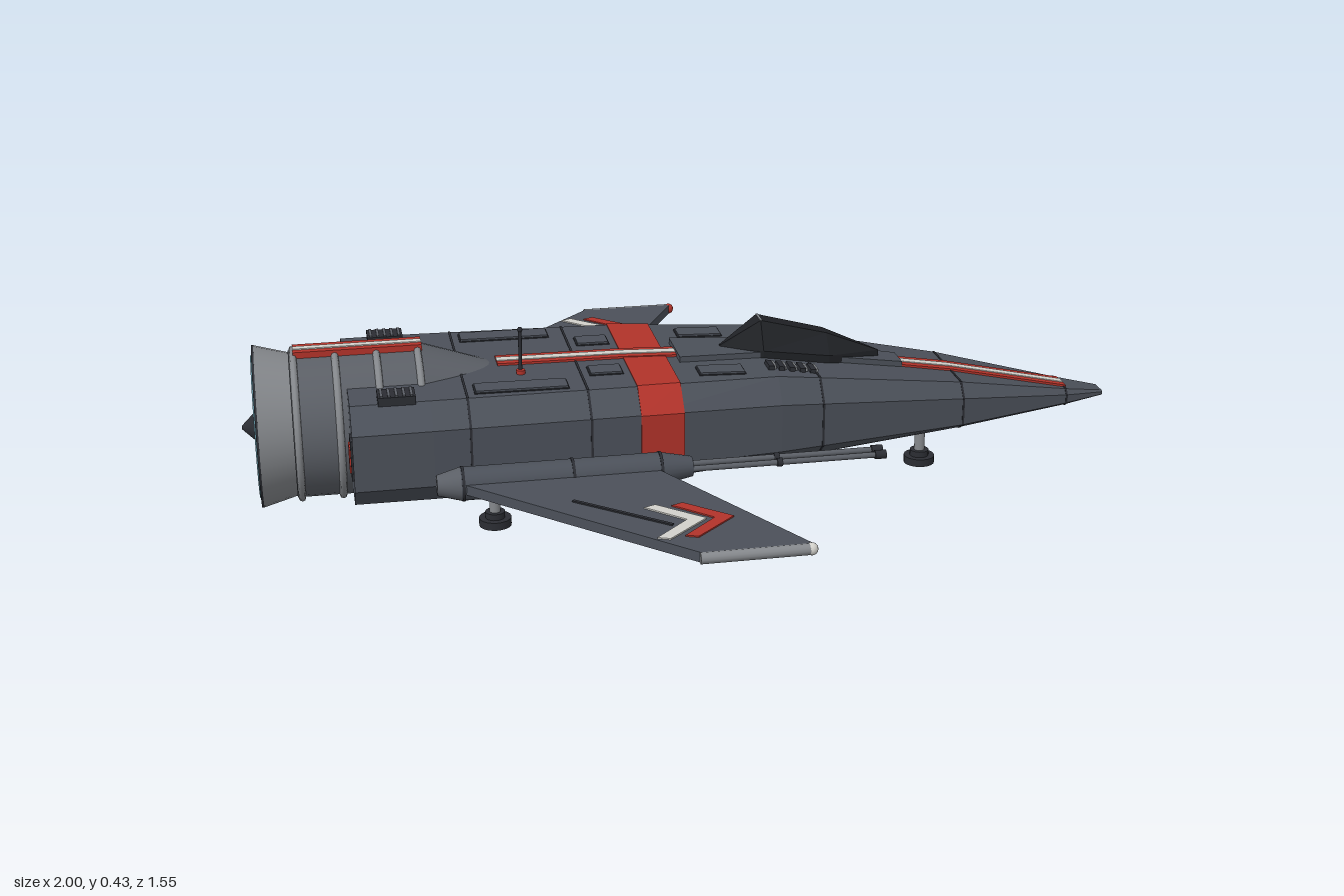
import * as THREE from 'three';

const mat = (name, color) => Object.assign(new THREE.MeshStandardMaterial({ color }), { name });
const hull = mat('hull grey', 0x4b5059), dark = mat('dark trim', 0x2b2d33), glass = mat('canopy glass', 0x1f2125),
  gun = mat('gunmetal', 0x5b5f66), steel = mat('steel', 0x85888c), red = mat('red paint', 0xb2332a),
  white = mat('white paint', 0xd2d1cb), glow = mat('engine glow', 0x5a8593);

// Hull stations: x, half width, top, upper side edge, lower side edge, bottom
const STATIONS = [
  [-0.77, 0.273, 0.323, 0.273, 0.147, 0.097],
  [-0.6, 0.272, 0.323, 0.273, 0.147, 0.096],
  [-0.15, 0.26, 0.319, 0.27, 0.148, 0.097],
  [0.17, 0.222, 0.308, 0.255, 0.145, 0.108],
  [0.62, 0.13, 0.235, 0.203, 0.139, 0.124],
  [0.9, 0.053, 0.175, 0.163, 0.143, 0.136],
  [1.0, 0.024, 0.156, 0.153, 0.147, 0.144],
];
function section(x) {
  let i = 0;
  while (i < STATIONS.length - 2 && x > STATIONS[i + 1][0]) i++;
  const a = STATIONS[i], b = STATIONS[i + 1], t = (x - a[0]) / (b[0] - a[0]);
  return a.map((v, k) => v + (b[k] - v) * t);
}
const topY = (x) => section(x)[2];
function hullRing(x, g = 0) {
  const [, w, t, u, l, b] = section(x), e = 0.81 * w + g * 0.5;
  const half = [[e, t + g], [w + g, u], [w + g, l], [e, b - g]];
  return [...half, ...half.slice().reverse().map(([z, y]) => [-z, y])].map(([z, y]) => [x, y, z]);
}
// Breakpoints of the hull between two x values
const spans = (x0, x1) => [x0, ...STATIONS.map((s) => s[0]).filter((x) => x > x0 + 0.001 && x < x1 - 0.001), x1];

// Closed faceted skin through rings ordered along +x
function loft(rings) {
  const p = [], n = rings[0].length, tri = (...v) => v.forEach((q) => p.push(...q));
  for (let i = 0; i < rings.length - 1; i++) {
    const a = rings[i], b = rings[i + 1];
    for (let j = 0; j < n; j++) {
      const k = (j + 1) % n;
      tri(a[j], a[k], b[j]);
      tri(a[k], b[k], b[j]);
    }
  }
  const f = rings[0], l = rings[rings.length - 1];
  for (let j = 1; j < n - 1; j++) {
    tri(f[0], f[j + 1], f[j]);
    tri(l[0], l[j], l[j + 1]);
  }
  const g = new THREE.BufferGeometry();
  g.setAttribute('position', new THREE.Float32BufferAttribute(p, 3));
  g.computeVertexNormals();
  return g;
}

export function createModel() {
  const model = new THREE.Group();
  model.name = 'starfighter';
  const add = (name, geo, m, x = 0, y = 0, z = 0) => {
    const o = new THREE.Mesh(geo, m);
    o.name = name;
    o.position.set(x, y, z);
    model.add(o);
    return o;
  };
  const box = (name, m, w, h, d, x, y, z) => add(name, new THREE.BoxGeometry(w, h, d), m, x, y, z);
  // Cylinder along x from x0 to x1
  const tube = (name, m, x0, x1, r0, r1, y, z, seg = 20) =>
    add(name, new THREE.CylinderGeometry(r1, r0, x1 - x0, seg).rotateZ(-Math.PI / 2), m, (x0 + x1) / 2, y, z);
  const post = (name, m, y0, y1, r, x, z) =>
    add(name, new THREE.CylinderGeometry(r, r, y1 - y0, 20), m, x, (y0 + y1) / 2, z);
  // Flat plate from x,z corners
  const plate = (name, m, pts, thick, yTop) => {
    const s = new THREE.Shape(pts.map(([x, z]) => new THREE.Vector2(x, z)));
    const g = new THREE.ExtrudeGeometry(s, { depth: thick, bevelEnabled: false }).rotateX(Math.PI / 2);
    return add(name, g, m, 0, yTop, 0);
  };
  // Strip laid along the hull top, half width may taper
  const strip = (name, m, x0, x1, w0, w1, h, z = 0) => add(name, loft(spans(x0, x1).map((x) => {
    const w = w0 + (w1 - w0) * (x - x0) / (x1 - x0), y = topY(x);
    return [[x, y + h, z - w], [x, y + h, z + w], [x, y - 0.004, z + w], [x, y - 0.004, z - w]];
  })), m);

  // Hull, painted band and panel seams
  add('hull', loft(STATIONS.map((s) => hullRing(s[0]))), hull);
  add('hullBand', loft([-0.152, -0.15, -0.055].map((x) => hullRing(x, 0.003))), red);
  [-0.52, -0.26, 0.27, 0.62, 0.9].forEach((x) =>
    add('hullSeam', loft([hullRing(x - 0.0025, 0.0015), hullRing(x + 0.0025, 0.0015)]), dark));

  // Spine and nose stripes
  for (const [x0, x1, w] of [[-0.435, -0.03, 0.028], [0.5, 0.905, 0.03]]) {
    strip('stripeRed', red, x0, x1, w, w, 0.005);
    strip('stripeWhite', white, x0, x1, 0.011, 0.011, 0.007);
  }

  // Canopy on its fairing
  strip('canopyFairing', hull, -0.03, 0.5, 0.066, 0.032, 0.013);
  const canopy = [[0.075, 0.004, 0.003, 0.327, 0.322], [0.165, 0.058, 0.024, 0.387, 0.325],
    [0.32, 0.054, 0.02, 0.346, 0.302], [0.45, 0.004, 0.002, 0.289, 0.277]];
  add('canopy', loft(canopy.map(([x, w, t, yt, ym]) =>
    [[yt, t], [ym, w], [0.255, w], [0.255, -w], [ym, -w], [yt, -t]].map(([y, z]) => [x, y, z]))), glass);
  box('canopyFrame', steel, 0.005, 0.004, 0.046, 0.166, 0.386, 0);

  // Engine
  const ey = 0.207;
  tube('engineShoulder', gun, -0.6, -0.42, 0.163, 0.105, ey, 0, 40);
  tube('engineBody', gun, -0.89, -0.6, 0.163, 0.163, ey, 0, 40);
  [-0.88, -0.79, -0.7, -0.61].forEach((x) =>
    add('engineRing', new THREE.TorusGeometry(0.165, 0.008, 8, 40).rotateY(Math.PI / 2), steel, x, ey, 0));
  tube('engineBell', steel, -0.965, -0.885, 0.18, 0.158, ey, 0, 40);
  tube('engineRim', dark, -0.968, -0.963, 0.18, 0.18, ey, 0, 40);
  tube('engineGlow', glow, -0.971, -0.967, 0.158, 0.158, ey, 0, 40);
  tube('engineSpike', dark, -1, -0.968, 0.004, 0.035, ey, 0, 20);
  [-0.019, 0.019].forEach((z) => box('engineStripeRed', red, 0.28, 0.014, 0.017, -0.74, 0.376, z));
  box('engineStripeWhite', white, 0.28, 0.014, 0.018, -0.74, 0.378, 0);

  for (const s of [1, -1]) {
    // Wing with tip rail, tip light and chevrons
    plate('wing', hull, [[-0.57, s * 0.31], [-0.12, s * 0.762], [0.105, s * 0.762], [-0.14, s * 0.31]], 0.022, 0.173);
    tube('wingTipRail', steel, -0.125, 0.1, 0.012, 0.012, 0.162, s * 0.762, 12);
    add('wingTipLight', new THREE.SphereGeometry(0.013, 12, 8), s > 0 ? white : red, 0.1, 0.162, s * 0.762);
    [[0, white], [0.052, red]].forEach(([dx, m]) => plate('wingChevron', m,
      [[-0.19, 0.68], [-0.115, 0.605], [-0.19, 0.53], [-0.165, 0.52], [-0.165, 0.52], [-0.075, 0.605], [-0.165, 0.69]]
        .filter((_, i) => i !== 4).map(([x, z]) => [x + dx - (dx ? 0 : 0.005), s * z]), 0.004, 0.176));
    plate('wingSeam', dark, [[-0.335, s * 0.468], [-0.155, s * 0.625], [-0.15, s * 0.619], [-0.33, s * 0.462]], 0.004, 0.176);

    // Gun pod with twin barrels
    const z = s * 0.305, y = 0.163;
    tube('podTail', gun, -0.6, -0.55, 0.022, 0.036, y, z);
    tube('gunPod', hull, -0.55, -0.12, 0.036, 0.036, y, z);
    tube('podNose', hull, -0.12, -0.05, 0.036, 0.022, y, z);
    [-0.545, -0.31, -0.12].forEach((x) => tube('podRing', dark, x - 0.003, x + 0.003, 0.038, 0.038, y, z));
    for (const dz of [-0.015, 0.015]) {
      tube('gunBarrel', gun, -0.06, 0.37, 0.0065, 0.0065, y, z + dz, 12);
      tube('gunSleeve', dark, 0.135, 0.147, 0.0095, 0.0095, y, z + dz, 12);
      tube('gunMuzzle', dark, 0.355, 0.38, 0.01, 0.01, y, z + dz, 12);
    }

    // Rear and forward vents
    box('rearVent', dark, 0.08, 0.022, 0.056, -0.67, 0.327, s * 0.197);
    for (let i = 0; i < 5; i++) {
      box('rearVentSlat', gun, 0.006, 0.004, 0.05, -0.702 + i * 0.016, 0.339, s * 0.197);
      const x = 0.165 + i * 0.024;
      box('noseVentSlat', dark, 0.013, 0.012, 0.042, x, topY(x) + 0.003, s * 0.115).rotation.z = -0.15;
      box('noseVentFin', steel, 0.004, 0.008, 0.036, x + 0.01, topY(x) + 0.004, s * 0.115);
    }

    // Raised deck panels
    [[-0.5, -0.3, 0.17], [-0.24, -0.17, 0.1], [0, 0.1, 0.13]].forEach(([x0, x1, pz]) => {
      strip('deckPanelEdge', dark, x0 - 0.003, x1 + 0.003, 0.028, 0.028, 0.002, s * pz);
      strip('deckPanel', hull, x0, x1, 0.025, 0.025, 0.006, s * pz);
    });

    // Tail lights on the rear face
    box('tailLightFrame', dark, 0.006, 0.09, 0.05, -0.771, 0.21, s * 0.228);
    box('tailLight', red, 0.006, 0.06, 0.032, -0.774, 0.21, s * 0.228);
  }

  // Landing gear
  for (const [x, z] of [[0.56, 0], [-0.465, 0.165], [-0.465, -0.165]]) {
    post('gearFoot', dark, 0, 0.018, 0.036, x, z);
    post('gearAnkle', dark, 0.018, 0.032, 0.022, x, z);
    post('gearStrut', steel, 0.03, 0.13, 0.012, x, z);
    post('gearSleeve', gun, 0.08, 0.13, 0.02, x, z);
  }

  // Antenna
  post('antennaBase', red, 0.318, 0.33, 0.01, -0.39, 0.085);
  post('antenna', dark, 0.32, 0.425, 0.004, -0.39, 0.085).rotation.x = 0.08;
  add('antennaTip', new THREE.SphereGeometry(0.006, 10, 8), dark, -0.39, 0.425, 0.09);
  return model;
}
